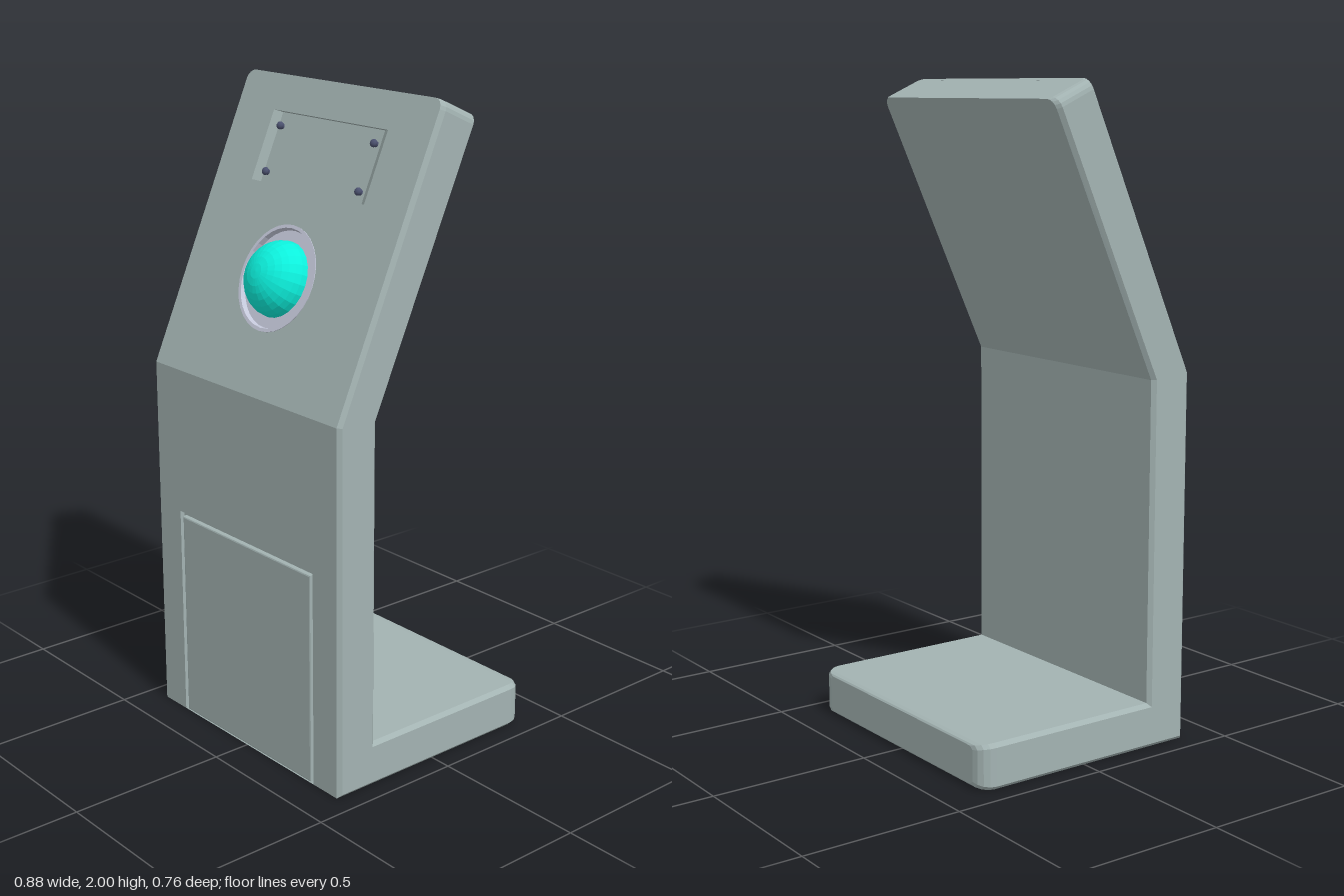
import * as THREE from 'three';

const W = 0.44, T = 0.14, EDGE = 0.012, SKIN = 0.015, KNEE = 1.14;
const LEAN = Math.atan2(0.38, 0.86), LEN = Math.hypot(0.38, 0.86);

const paint = (color, extra = {}) => new THREE.MeshStandardMaterial({ color, ...extra });
const bodyMat = paint(0xa3b3b2);
const ringMat = paint(0xc4c8da, { side: THREE.DoubleSide });
const lensMat = paint(0x0cf0dc, { flatShading: true });
const screwMat = paint(0x4c5270);

function add(parent, name, geometry, material, x = 0, y = 0, z = 0) {
  const mesh = new THREE.Mesh(geometry, material);
  mesh.name = name;
  mesh.position.set(x, y, z);
  parent.add(mesh);
  return mesh;
}

const polygon = (pts) => new THREE.Shape(pts.map(([x, y]) => new THREE.Vector2(x, y)));

// Plate whose front lies at z = 0
function plate(shape) {
  const g = new THREE.ExtrudeGeometry(shape, { depth: SKIN, bevelEnabled: false, curveSegments: 20 });
  return g.translate(0, 0, -SKIN);
}

// Quarter-round end: distance from the end and how much the width shrinks
function roundEnd(r, steps = 4) {
  return Array.from({ length: steps + 1 }, (_, i) => {
    const a = (i / steps) * Math.PI / 2;
    return { dist: r * (1 - Math.cos(a)), shrink: r * (1 - Math.sin(a)) };
  });
}

// Cross-section with chamfered edges and a shallow channel for the front skins
function section({ f, b, w, channel }) {
  const e = EDGE / T, c = channel ? SKIN / T : 0, n = w - EDGE;
  const half = [[n, c], [n, 0], [w, e], [w, 1 - e], [n, 1]];
  const ring = [...half.map(([x, t]) => [-x, t]), ...half.slice().reverse()];
  return ring.map(([x, t]) => [x, f[1] + (b[1] - f[1]) * t, f[0] + (b[0] - f[0]) * t]);
}

function loft(stations) {
  const rings = stations.map(section), n = rings[0].length, pos = [];
  const tri = (...p) => p.forEach((q) => pos.push(...q));
  for (let i = 0; i < rings.length - 1; i++) {
    for (let k = 0; k < n; k++) {
      const m = (k + 1) % n, A = rings[i], B = rings[i + 1];
      tri(A[k], B[k], B[m]);
      tri(A[k], B[m], A[m]);
    }
  }
  [0, rings.length - 1].forEach((i) => {
    const { f, b } = stations[i], r = rings[i];
    const c = [0, (f[1] + b[1]) / 2, (f[0] + b[0]) / 2];
    for (let k = 0; k < n; k++) {
      const m = (k + 1) % n;
      if (i === 0) tri(c, r[k], r[m]); else tri(c, r[m], r[k]);
    }
  });
  const g = new THREE.BufferGeometry();
  g.setAttribute('position', new THREE.Float32BufferAttribute(pos, 3));
  g.computeVertexNormals();
  return g;
}

export function createModel() {
  const group = new THREE.Group();
  group.name = 'kiosk';

  // Foot, upright and leaning head as one bent slab
  const topRound = roundEnd(0.03).reverse();
  const sin = Math.sin(LEAN), cos = Math.cos(LEAN);
  const foot = roundEnd(0.05).map(({ dist, shrink }) => ({
    f: [-0.378 + dist, shrink * 0.25], b: [-0.378 + dist, T - shrink * 0.25], w: W - shrink, channel: false,
  }));
  const head = topRound.map(({ dist, shrink }) => ({
    f: [dist * sin, 2 - dist * cos],
    b: [dist * sin - 0.128, 2 - dist * cos - 0.057],
    w: W - shrink, channel: true,
  }));
  const corner = { f: [0.38, 0], b: [0.24, T], w: W };
  add(group, 'bentBody', loft([
    ...foot,
    { ...corner, channel: false },
    { ...corner, channel: true },
    { f: [0.38, KNEE], b: [0.24, 1.13], w: W, channel: true },
    ...head,
  ]), bodyMat);

  // Lower front skin, cut away around the service door
  const n = W - EDGE;
  add(group, 'lowerFront', plate(polygon([
    [-n, 0], [-0.322, 0], [-0.322, 0.68], [0.322, 0.68], [0.322, 0], [n, 0], [n, KNEE], [-n, KNEE],
  ])), bodyMat, 0, 0, 0.38);

  // Service door with softened edges, set in its groove
  const door = new THREE.ExtrudeGeometry(
    polygon([[-0.31, 0.002], [0.31, 0.002], [0.31, 0.666], [-0.31, 0.666]]),
    { depth: SKIN - 0.005, bevelThickness: 0.005, bevelSize: 0.005, bevelOffset: -0.005, bevelSegments: 2 });
  add(group, 'serviceDoor', door, bodyMat, 0, 0, 0.38 - SKIN);

  // Leaning front: local y runs up the slope, z points out of it
  const face = new THREE.Group();
  face.name = 'leaningFace';
  face.position.set(0, KNEE, 0.38);
  face.rotation.x = -LEAN;
  group.add(face);

  const side = topRound.map(({ dist, shrink }) => [n - shrink, LEN - dist]);
  const skin = polygon([[-n, 0], [n, 0], ...side, ...side.slice().reverse().map(([x, y]) => [-x, y])]);
  const lensY = 0.348, lensX = -0.005, low = 0.612, high = 0.83;
  const lensHole = new THREE.Path().absarc(lensX, lensY, 0.16, 0, Math.PI * 2, true);
  const signHole = new THREE.Path([[-0.255, low], [-0.255, high], [0.255, high], [0.255, low]]
    .map(([x, y]) => new THREE.Vector2(x, y)));
  skin.holes.push(lensHole, signHole);
  add(face, 'upperFront', plate(skin), bodyMat);

  // Sloped ends of the recessed sign plate, with a screw in each corner
  for (const s of [-1, 1]) {
    const wedge = polygon([[s * 0.255, 0], [s * 0.255, -SKIN], [s * 0.228, -SKIN]]);
    const ramp = new THREE.ExtrudeGeometry(wedge, { depth: high - low, bevelEnabled: false });
    ramp.rotateX(-Math.PI / 2).rotateX(Math.PI);
    // Turn the wedge so that its height runs out of the face
    ramp.rotateX(-Math.PI / 2).rotateX(Math.PI / 2);
    ramp.rotateX(Math.PI).translate(0, 0, 0);
    ramp.rotateX(Math.PI);
    ramp.scale(1, 1, 1);
    ramp.computeBoundingBox();
    const box = ramp.boundingBox;
    ramp.translate(0, low - box.min.y, -SKIN - box.min.z);
    add(face, 'signRamp', ramp, bodyMat);
    for (const y of [0.645, 0.787]) {
      const screw = add(face, 'screw', new THREE.SphereGeometry(0.012, 12, 8), screwMat, s * 0.21, y, -0.004);
      screw.scale.z = 0.8;
      const shank = new THREE.CylinderGeometry(0.009, 0.009, SKIN, 10).rotateX(Math.PI / 2);
      add(face, 'screwShank', shank, screwMat, s * 0.21, y, -SKIN / 2);
    }
  }

  // Dished ring and domed lens
  const dish = new THREE.LatheGeometry(
    [[0.1, -0.013], [0.147, -0.013], [0.151, 0.002], [0.161, 0.002], [0.161, -0.01]]
      .map(([x, y]) => new THREE.Vector2(x, y)), 32).toNonIndexed();
  dish.computeVertexNormals();
  add(face, 'lensRing', dish.rotateX(Math.PI / 2), ringMat, lensX, lensY);
  const dome = new THREE.SphereGeometry(0.115, 24, 8, 0, Math.PI * 2, 0, Math.PI / 2).rotateX(Math.PI / 2);
  add(face, 'lens', dome, lensMat, lensX, lensY, -0.013).scale.z = 0.098 / 0.115;

  return group;
}
